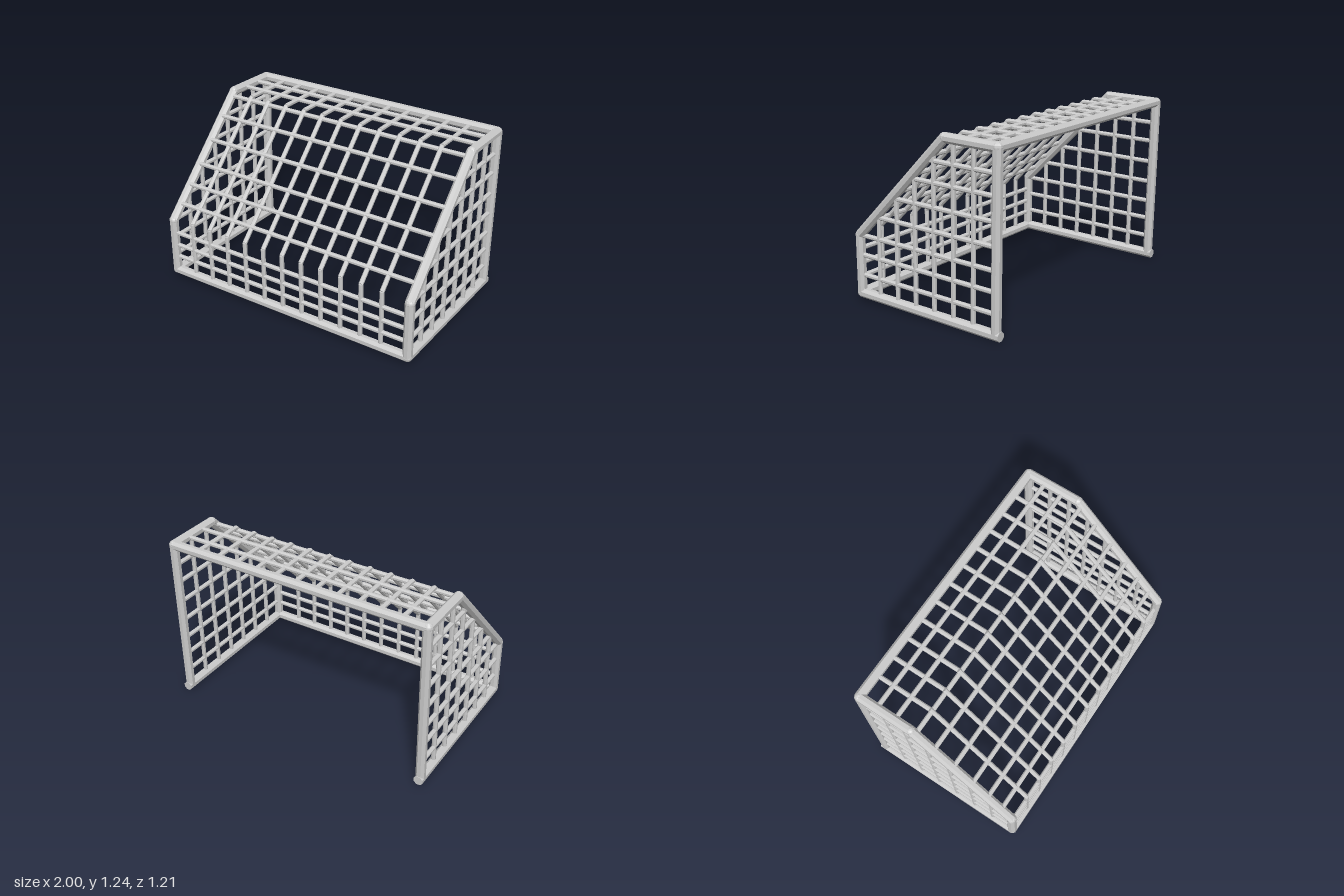
import * as THREE from 'three';

const FRAME_R = 0.034, NET_R = 0.0165, SIDE_X = 0.965, TILT = 0.019;

export function createModel() {
  const root = new THREE.Group();
  root.name = 'netGoal';
  const material = new THREE.MeshStandardMaterial({ color: 0xcccccc, flatShading: true });
  const up = new THREE.Vector3(0, 1, 0);
  const v = (x, y, z) => new THREE.Vector3(x, y, z);

  const group = (name) => {
    const g = new THREE.Group();
    g.name = name;
    root.add(g);
    return g;
  };

  // straight round bar between two points
  const bar = (parent, name, a, b, r) => {
    const dir = b.clone().sub(a);
    const geo = new THREE.CylinderGeometry(r, r, dir.length(), 8);
    geo.rotateY(Math.PI / 8);
    const mesh = new THREE.Mesh(geo, material);
    mesh.name = name;
    mesh.position.copy(a).add(b).multiplyScalar(0.5);
    mesh.quaternion.setFromUnitVectors(up, dir.normalize());
    parent.add(mesh);
  };
  const joint = (parent, p) => {
    const mesh = new THREE.Mesh(new THREE.SphereGeometry(FRAME_R, 10, 8), material);
    mesh.name = 'frameJoint';
    mesh.position.copy(p);
    parent.add(mesh);
  };

  // side outline as [z, y], from the open end's foot around to the post top
  const outline = [[-0.59, 0.037], [0.57, 0.064], [0.568, 0.472], [-0.178, 1.216], [-0.576, 1.207]];
  const names = ['baseRail', 'lowUpright', 'slopeRail', 'topRail'];

  for (const s of [-1, 1]) {
    const x = s * SIDE_X;
    const frame = group(s > 0 ? 'leftFrame' : 'rightFrame');
    const pts = outline.map(([z, y]) => v(x, y, z));
    names.forEach((n, i) => bar(frame, n, pts[i], pts[i + 1], FRAME_R));
    bar(frame, 'post', v(x, 0.038, -0.555), pts[4], FRAME_R);
    pts.slice(1).forEach((p) => joint(frame, p));

    // side net, clipped to the sloping rail
    const net = group(s > 0 ? 'leftNet' : 'rightNet');
    for (const y of [0.184, 0.324, 0.46, 0.611, 0.765, 0.923, 1.062]) {
      const z1 = Math.min(0.57, 1.04 - y);
      bar(net, 'sideNetRow', v(x, y - 0.56 * TILT, -0.56), v(x, y + z1 * TILT, z1), NET_R);
    }
    for (let i = 0; i < 6; i++) {
      const z = 0.403 - 0.1562 * i;
      const y1 = Math.min(1.21, 1.045 - z);
      bar(net, 'sideNetUpright', v(x, 0.06, z), v(x, y1, z - y1 * TILT), NET_R);
    }
  }

  // cross bars joining the two side frames
  const cross = group('crossFrame');
  bar(cross, 'baseBar', v(-SIDE_X, 0.064, 0.57), v(SIDE_X, 0.064, 0.57), FRAME_R);
  bar(cross, 'crossbar', v(-SIDE_X, 1.207, -0.576), v(SIDE_X, 1.207, -0.576), FRAME_R);

  // net over the low wall, slope and roof
  const net = group('mainNet');
  const rows = [
    [0.57, 0.18], [0.57, 0.275], [0.57, 0.375],
    [0.487, 0.573], [0.38, 0.683], [0.262, 0.8], [0.123, 0.938], [-0.016, 1.077], [-0.145, 1.19],
    [-0.30, 1.215], [-0.44, 1.212],
  ];
  for (const [z, y] of rows) bar(net, 'netRow', v(-SIDE_X, y, z), v(SIDE_X, y, z), NET_R);

  const path = [[0.57, 0.064], [0.57, 0.488], [-0.158, 1.213], [-0.576, 1.207]];
  const parts = ['wallNetLine', 'slopeNetLine', 'roofNetLine'];
  for (let i = 0; i < 11; i++) {
    const x = -0.787 + 0.1552 * i;
    parts.forEach((n, k) => {
      const [z0, y0] = path[k], [z1, y1] = path[k + 1];
      bar(net, n, v(x, y0, z0), v(x, y1, z1), NET_R);
    });
  }
  return root;
}
